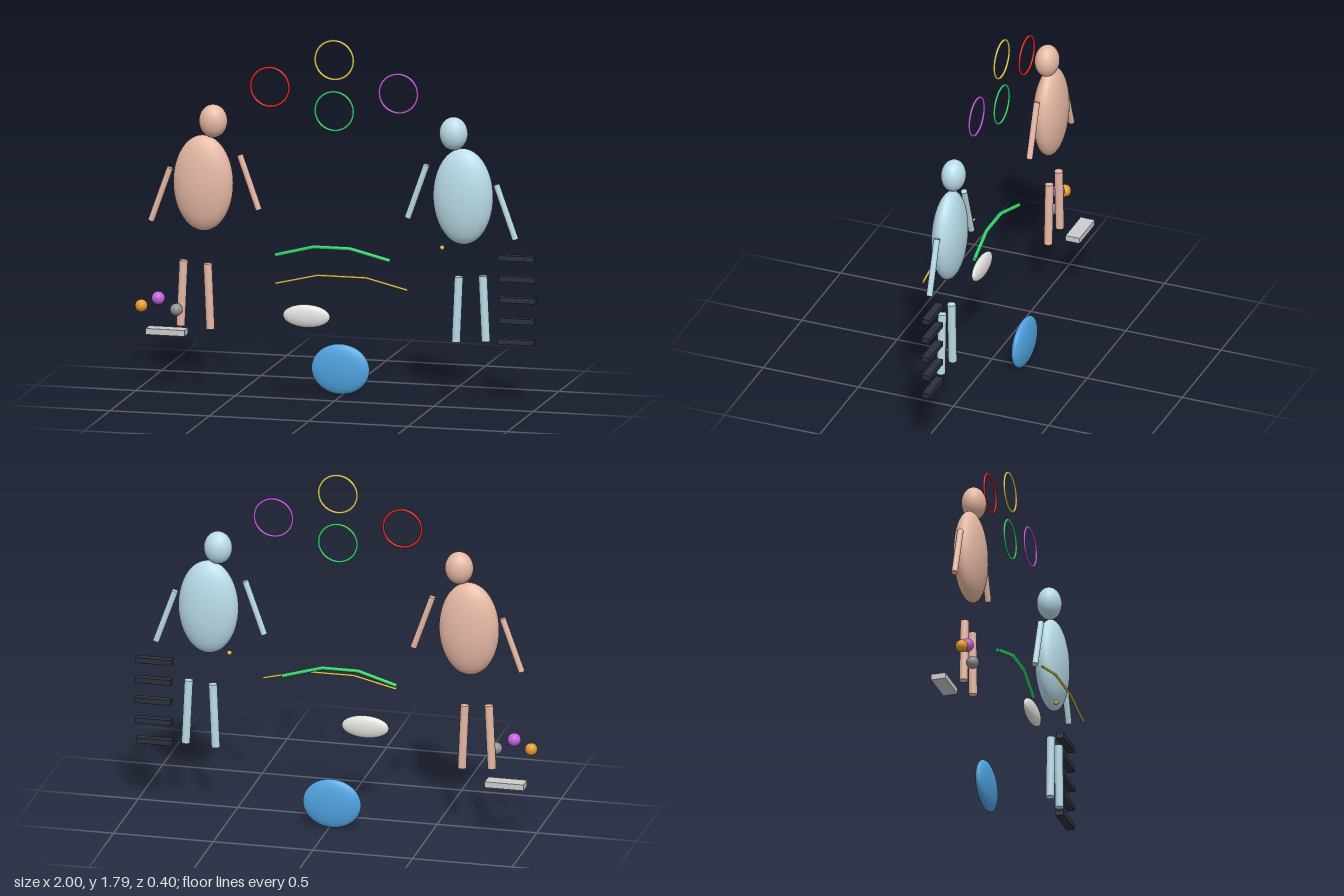
import * as THREE from 'three';

const V = (x, y, z) => new THREE.Vector3(x, y, z);

function add(parent, name, geometry, color, position) {
  const mesh = new THREE.Mesh(geometry, new THREE.MeshStandardMaterial({ color }));
  mesh.name = name;
  if (position) mesh.position.copy(position);
  parent.add(mesh);
  return mesh;
}

// Sphere stretched to the three given radii
const ellipsoid = (rx, ry, rz) => new THREE.SphereGeometry(1, 40, 28).scale(rx, ry, rz);

// Straight rod between two points
function rod(parent, name, color, radius, from, to) {
  const geometry = new THREE.CylinderGeometry(radius, radius, from.distanceTo(to), 20);
  const mesh = add(parent, name, geometry, color, from.clone().lerp(to, 0.5));
  mesh.quaternion.setFromUnitVectors(V(0, 1, 0), to.clone().sub(from).normalize());
}

// Angular arch: a tube with one straight length between neighbouring points
function arch(parent, name, color, radius, points) {
  const curve = new THREE.CatmullRomCurve3(points);
  curve.getPointAt = curve.getPoint;
  curve.getTangentAt = curve.getTangent;
  const mesh = add(parent, name, new THREE.TubeGeometry(curve, points.length - 1, radius, 10), color);
  mesh.material.side = THREE.DoubleSide;
}

// Figure with floating limbs; side is the direction of its outer arm
function figure(name, color, x, headX, side) {
  const g = new THREE.Group();
  g.name = name;
  const z = -0.037;
  add(g, 'torso', ellipsoid(0.15, 0.238, 0.076), color, V(x, 1.05, z));
  add(g, 'head', ellipsoid(0.07, 0.082, 0.06), color, V(headX, 1.36, z));
  const limb = (part, r, x0, y0, x1, y1) =>
    rod(g, part, color, r, V(x + side * x0, y0, z), V(x + side * x1, y1, z));
  limb('outerArm', 0.0155, 0.167, 1.117, 0.263, 0.849);
  limb('innerArm', 0.0155, -0.184, 1.198, -0.279, 0.93);
  limb('outerLeg', 0.021, 0.099, 0.66, 0.114, 0.335);
  limb('innerLeg', 0.021, -0.022, 0.65, -0.036, 0.325);
  return g;
}

export function createModel() {
  const model = new THREE.Group();
  model.name = 'model';

  model.add(figure('pinkFigure', 0xe6b8a4, -0.67, -0.62, -1));
  model.add(figure('paleBlueFigure', 0xb9dce8, 0.638, 0.59, 1));

  // Rings overhead
  for (const [name, color, x, y] of [
    ['yellowRing', 0xd6c052, -0.013, 1.692],
    ['greenRing', 0x2fc468, -0.013, 1.438],
    ['redRing', 0xdd2222, -0.337, 1.542],
    ['purpleRing', 0xb552d6, 0.31, 1.542],
  ]) add(model, name, new THREE.TorusGeometry(0.096, 0.006, 12, 48), color, V(x, y, -0.045));

  // Arches in the middle
  arch(model, 'greenArch', 0x2fd26a, 0.01, [
    V(-0.302, 0.714, -0.018), V(-0.104, 0.767, -0.002), V(0.077, 0.767, -0.002), V(0.275, 0.714, -0.018)]);
  arch(model, 'yellowArch', 0xd6b840, 0.006, [
    V(-0.248, 0.617, 0.193), V(-0.035, 0.668, 0.193), V(0.21, 0.668, 0.193), V(0.419, 0.617, 0.193)]);

  // Flattened discs below the arches
  add(model, 'whiteOval', ellipsoid(0.118, 0.057, 0.026), 0xe2e2de, V(-0.115, 0.443, 0.1));
  add(model, 'blueOval', ellipsoid(0.146, 0.125, 0.035), 0x4fa3e0, V(-0.013, 0.131, -0.165));

  // Stack of dark slats
  [0.902, 0.906, 0.91, 0.908, 0.904].forEach((x, i) =>
    add(model, 'darkSlat', new THREE.BoxGeometry(0.18, 0.027, 0.04), 0x2b303b, V(x, 0.337 + i * 0.104, -0.055)));

  // Balls above a tray
  for (const [name, color, x, y, r] of [
    ['orangeBall', 0xe59a2c, -0.969, 0.433, 0.031],
    ['purpleBall', 0xc062dc, -0.884, 0.475, 0.033],
    ['greyBall', 0x909090, -0.793, 0.422, 0.031],
    ['goldBead', 0xdcb640, 0.545, 0.8, 0.012],
  ]) add(model, name, new THREE.SphereGeometry(r, 28, 20), color, V(x, y, 0.012));
  add(model, 'tray', new THREE.BoxGeometry(0.195, 0.03, 0.073), 0xdededa, V(-0.872, 0.287, -0.108));

  return model;
}
